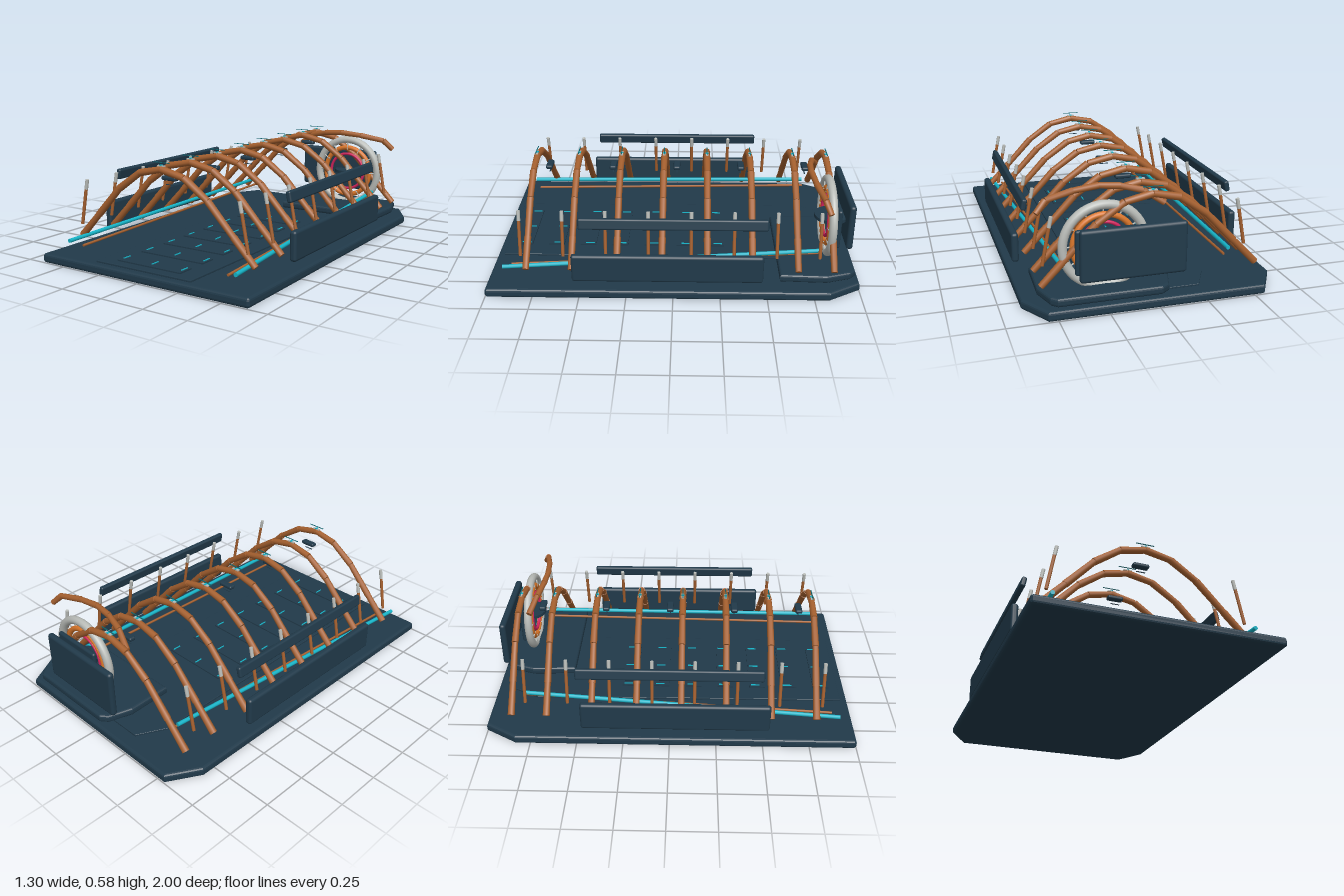
import * as THREE from 'three';
import { RoundedBoxGeometry } from 'three/addons/geometries/RoundedBoxGeometry.js';

const mat = (name, color) => Object.assign(new THREE.MeshStandardMaterial({ color }), { name });

export function createModel() {
  const root = new THREE.Group();
  root.name = 'ribbedPlatform';
  const navy = mat('navy', 0x213a4a), copper = mat('copper', 0xa5602f), orange = mat('orange', 0xd9762a);
  const grey = mat('grey', 0xb9bcb8), pink = mat('pink', 0xd0245c), cyan = mat('cyan', 0x16b4c8), teal = mat('teal', 0x0f6670);
  const V = (x, y, z) => new THREE.Vector3(x, y, z);

  function add(name, geo, m, x = 0, y = 0, z = 0, parent = root) {
    const mesh = new THREE.Mesh(geo, m);
    mesh.name = name;
    mesh.position.set(x, y, z);
    parent.add(mesh);
    return mesh;
  }
  const box = (name, m, w, h, d, x, y, z) => add(name, new THREE.BoxGeometry(w, h, d), m, x, y, z);
  const pad = (name, w, h, d, x, y, z, r) => add(name, new RoundedBoxGeometry(w, h, d, 3, r), navy, x, y, z);

  // Straight round bar between two points
  function rod(name, m, a, b, r0, r1 = r0, parent = root) {
    const dir = b.clone().sub(a);
    const mesh = add(name, new THREE.CylinderGeometry(r1, r0, dir.length(), 10), m, 0, 0, 0, parent);
    mesh.position.copy(a).add(b).multiplyScalar(0.5);
    mesh.quaternion.setFromUnitVectors(V(0, 1, 0), dir.normalize());
    return mesh;
  }
  // Chain of slightly tapered bars
  function chain(name, m, pts, r) {
    const g = new THREE.Group();
    g.name = name;
    for (let i = 0; i + 1 < pts.length; i++) rod(name + 'Segment', m, pts[i], pts[i + 1], r, r * 0.88, g);
    root.add(g);
  }
  // Flat slab from an outline of [x, z] points
  function slab(name, outline, y0, y1, bevel) {
    const shape = new THREE.Shape(outline.map(([x, z]) => new THREE.Vector2(x, -z)));
    const geo = new THREE.ExtrudeGeometry(shape, {
      depth: y1 - y0 - 2 * bevel, bevelEnabled: bevel > 0, bevelSize: bevel,
      bevelThickness: bevel, bevelOffset: -bevel, bevelSegments: 3,
    });
    geo.rotateX(-Math.PI / 2);
    add(name, geo, navy, 0, y0 + bevel, 0);
  }

  // Base, floor inlay and rear platform
  slab('base', [[-0.64, 1], [0.64, 1], [0.65, 0.99], [0.65, -0.83], [0.55, -1], [-0.55, -1], [-0.65, -0.83], [-0.65, 0.99]], 0, 0.05, 0.015);
  slab('floorInlay', [[-0.3, 0.96], [0.3, 0.96], [0.31, -0.76], [0.23, -0.915], [-0.23, -0.915], [-0.31, -0.76]], 0.048, 0.06, 0.003);
  slab('rearPlatform', [[-0.09, -0.57], [0.56, -0.57], [0.57, -0.82], [0.53, -0.95], [0.5, -0.98], [-0.02, -0.98], [-0.06, -0.95], [-0.1, -0.82]], 0.058, 0.102, 0.014);

  // Floor slats with small lights
  for (let i = 0; i < 7; i++) {
    const z = 0.865 - i * 0.184;
    box('floorSlat', navy, 0.4, 0.008, 0.09, 0, 0.063, z);
    for (const x of [-0.185, 0, 0.185]) box('floorLight', cyan, 0.006, 0.004, 0.05, x, 0.069, z - 0.01);
  }

  // Arched ribs with collars and ridge strips
  const half = [[0.555, 0.12], [0.43, 0.25], [0.28, 0.408], [0.14, 0.505]];
  const arch = [...half.map(([x, y]) => [-x, y]), [0, 0.535], ...half.slice().reverse()];
  const ribZ = [-0.857];
  for (let i = 0; i < 7; i++) ribZ.push(-0.667 + i * 0.2427);
  for (const z of ribZ) {
    chain('rib', copper, arch.map(([x, y]) => V(x, y, z)), 0.0195);
    box('ribCollar', grey, 0.045, 0.006, 0.014, 0, 0.553, z);
    box('ridgeLight', cyan, 0.012, 0.004, 0.016, 0, 0.557, z);
    box('ridgeStrip', teal, 0.1, 0.003, 0.005, 0, 0.57, z);
  }

  // Hanging pads below the ridge
  for (let i = 0; i < 5; i++) {
    const z = 0.72 - i * 0.365;
    pad('ridgePad', 0.09, 0.023, 0.038, 0, 0.479, z, 0.009);
    box('ridgePadStrip', navy, 0.05, 0.003, 0.006, 0, 0.445, z);
  }

  // Both sides: rails, walls and posts
  for (const s of [-1, 1]) {
    rod('lightRail', cyan, V(s * 0.528, 0.118, 0.92), V(s * 0.435, 0.183, -0.8), 0.011);
    rod('thinRail', copper, V(s * 0.462, 0.095, 0.885), V(s * 0.41, 0.153, -0.8), 0.007);
    pad('lowerSideWall', 0.038, 0.158, 1.01, s * 0.607, 0.169, 0.03, 0.015);
    pad('upperSideBar', 0.028, 0.06, 0.99, s * 0.558, 0.405, 0, 0.01).rotation.z = s * 0.2;
    for (let i = 0; i < 8; i++) {
      const z = 0.815 - i * 0.2275;
      rod('post', copper, V(s * 0.53, 0.19, z), V(s * 0.493, 0.385, z), 0.009);
      rod('postSleeve', grey, V(s * 0.493, 0.383, z), V(s * 0.482, 0.437, z), 0.01);
    }
  }

  // Wheel at the rear
  const cx = 0.24, cy = 0.295, cz = -0.85;
  const ring = (name, m, r, t, z) => add(name, new THREE.TorusGeometry(r, t, 12, 48), m, cx, cy, z);
  ring('outerRing', grey, 0.206, 0.023, cz);
  ring('middleRing', orange, 0.155, 0.015, cz + 0.005);
  ring('innerRing', pink, 0.114, 0.009, cz + 0.01);
  for (let i = 0; i < 12; i++) {
    const a = (i * Math.PI) / 6, c = Math.cos(a), s = Math.sin(a);
    rod('spoke', grey, V(cx + c * 0.145, cy + s * 0.145, cz + 0.018), V(cx + c * 0.19, cy + s * 0.19, cz + 0.012), 0.004);
  }
  add('hubDisc', new THREE.CylinderGeometry(0.093, 0.093, 0.018, 32), navy, cx, cy, -0.872);
  pad('wheelBacking', 0.31, 0.23, 0.026, cx, 0.285, -0.893, 0.012);
  pad('rearPanel', 0.53, 0.262, 0.036, 0.125, 0.292, -0.96, 0.016);

  // Curved canopy bar over the wheel
  chain('canopyBar', copper, [
    V(-0.08, 0.466, -0.81), V(0.02, 0.528, -0.775), V(0.13, 0.552, -0.75), V(0.24, 0.56, -0.742),
    V(0.37, 0.549, -0.755), V(0.51, 0.524, -0.785), V(0.562, 0.47, -0.81),
  ], 0.0175);

  return root;
}
